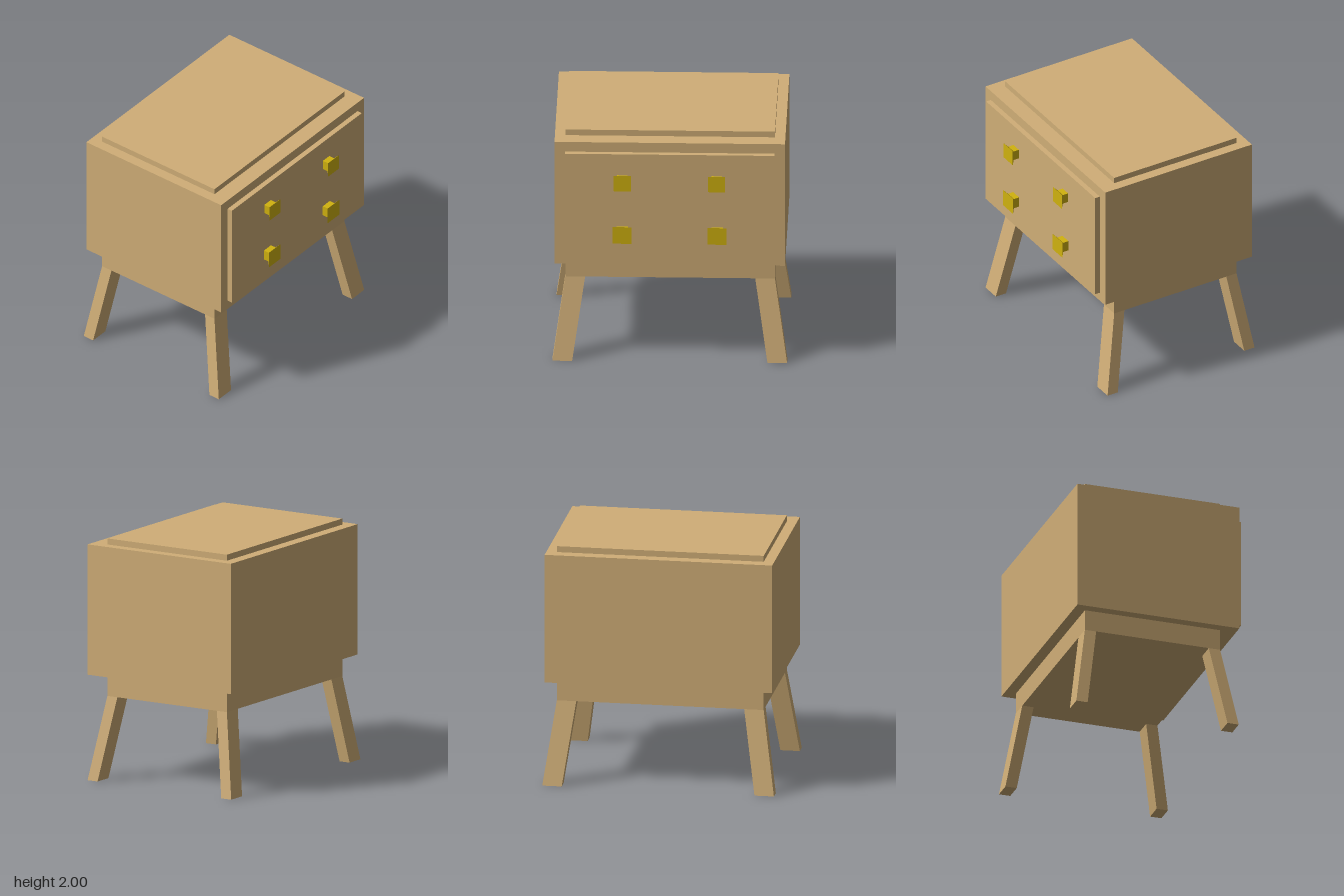
import * as THREE from 'three';

export function createModel() {
  const group = new THREE.Group();
  const wood = new THREE.MeshStandardMaterial({ color: 0xd0ae77 });
  wood.name = 'wood';
  const gold = new THREE.MeshStandardMaterial({ color: 0xd0b20f });
  gold.name = 'gold';

  const add = (name, geometry, material, parent = group) => {
    const mesh = new THREE.Mesh(geometry, material);
    mesh.name = name;
    parent.add(mesh);
    return mesh;
  };

  // Box given by its extents on each axis
  const block = (name, [x0, x1], [y0, y1], [z0, z1], material = wood, parent = group) => {
    const g = new THREE.BoxGeometry(x1 - x0, y1 - y0, z1 - z0);
    g.translate((x0 + x1) / 2, (y0 + y1) / 2, (z0 + z1) / 2);
    return add(name, g, material, parent);
  };

  // Cabinet, top panel, base and drawer front
  block('cabinet', [-0.935, 0.935], [0.87, 1.95], [-0.748, 0.643]);
  block('topPanel', [-0.85, 0.85], [1.95, 2], [-0.654, 0.507]);
  block('base', [-0.85, 0.85], [0.695, 0.87], [-0.654, 0.507]);
  block('drawerFront', [-0.85, 0.85], [0.94, 1.865], [0.643, 0.687]);

  // Splayed legs: boxes whose lower ends slide outwards
  const legHeight = 0.695;
  const leg = (name, side, zTop, zSplay) => {
    const g = new THREE.BoxGeometry(0.16, legHeight, 0.097);
    const p = g.attributes.position;
    for (let i = 0; i < p.count; i++) {
      const foot = p.getY(i) < 0 ? 1 : 0;
      p.setX(i, p.getX(i) + side * (0.77 + 0.102 * foot));
      p.setZ(i, p.getZ(i) + zTop + zSplay * foot);
    }
    g.translate(0, legHeight / 2, 0);
    g.computeVertexNormals();
    add(name, g, wood);
  };
  for (const side of [-1, 1]) {
    const label = side > 0 ? 'Left' : 'Right';
    leg('front' + label + 'Leg', side, 0.4585, 0.125);
    leg('back' + label + 'Leg', side, -0.6055, -0.109);
  }

  // Square knobs: a straight stem and a flared head
  const knob = (name, x, y, w, h, stemW, stemH) => {
    const k = new THREE.Group();
    k.name = name;
    k.position.set(x, y, 0);
    block('knobStem', [-stemW / 2, stemW / 2], [-stemH / 2, stemH / 2], [0.687, 0.736], gold, k);
    const g = new THREE.BoxGeometry(w, h, 0.027);
    const p = g.attributes.position;
    for (let i = 0; i < p.count; i++) {
      if (p.getZ(i) < 0) p.setXY(i, Math.sign(p.getX(i)) * stemW / 2, Math.sign(p.getY(i)) * stemH / 2);
    }
    g.translate(0, 0, 0.7495);
    g.computeVertexNormals();
    add('knobHead', g, gold, k);
    group.add(k);
  };
  for (const side of [-1, 1]) {
    const label = side > 0 ? 'Left' : 'Right';
    knob('upper' + label + 'Knob', side * 0.383, 1.638, 0.14, 0.135, 0.085, 0.082);
    knob('lower' + label + 'Knob', side * 0.385, 1.178, 0.154, 0.147, 0.093, 0.089);
  }

  return group;
}
